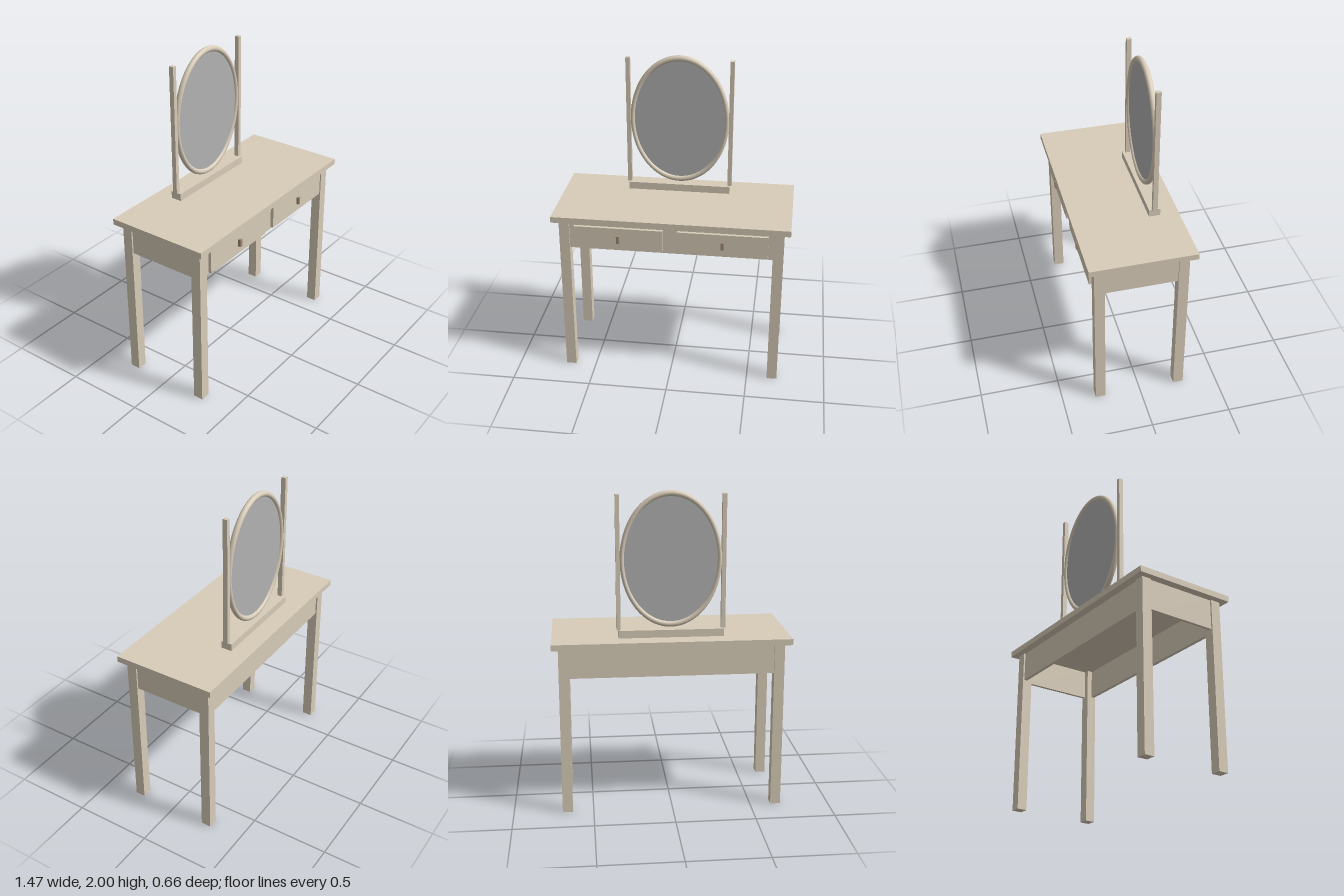
import * as THREE from 'three';

export function createModel() {
  const model = new THREE.Group();
  model.name = 'dressingTable';
  const wood = new THREE.MeshStandardMaterial({ color: 0xd8ccb8 });
  const knobWood = new THREE.MeshStandardMaterial({ color: 0xa08a72 });
  const glass = new THREE.MeshStandardMaterial({ color: 0xb2b2b2 });

  const add = (name, geometry, material, x, y, z) => {
    const mesh = new THREE.Mesh(geometry, material);
    mesh.name = name;
    mesh.position.set(x, y, z);
    model.add(mesh);
    return mesh;
  };
  // Box given by its centre in x and z and its lower and upper height
  const box = (name, x, z, w, d, y0, y1, material = wood) =>
    add(name, new THREE.BoxGeometry(w, y1 - y0, d), material, x, (y0 + y1) / 2, z);

  const topUnder = 1.066, topUpper = 1.104, mirrorZ = -0.177;

  box('tableTop', 0, 0, 1.47, 0.66, topUnder, topUpper);

  // Legs and the thin aprons set slightly in from their outer faces
  for (const s of [-1, 1]) {
    for (const f of [-1, 1]) box('leg', s * 0.663, f * 0.258, 0.064, 0.064, 0, topUnder);
    box('sideApron', s * 0.675, 0, 0.02, 0.456, 0.876, topUnder);
    box(s > 0 ? 'frontApron' : 'backApron', 0, s * 0.27, 1.264, 0.02, 0.876, topUnder);

    // Drawer fronts and pulls
    box('drawerFront', s * 0.323, 0.29, 0.556, 0.02, 0.889, 1.035);
    box('drawerPull', s * 0.323, 0.308, 0.018, 0.018, 0.94, 0.987, knobWood);

    // Posts holding the mirror
    box('mirrorPost', s * 0.323, mirrorZ, 0.026, 0.03, 1.151, 1.977);
  }

  // Mirror stand
  box('mirrorBase', 0, mirrorZ, 0.65, 0.071, topUpper, 1.151);

  // Oval frame and two-sided glass
  const frame = add('mirrorFrame', new THREE.TorusGeometry(0.4, 0.0185, 16, 96), wood, 0, 1.581, mirrorZ);
  frame.scale.x = 0.745;
  const pane = new THREE.CylinderGeometry(0.395, 0.395, 0.01, 96).rotateX(Math.PI / 2);
  add('mirrorGlass', pane, glass, 0, 1.581, mirrorZ).scale.x = 0.745;

  return model;
}
